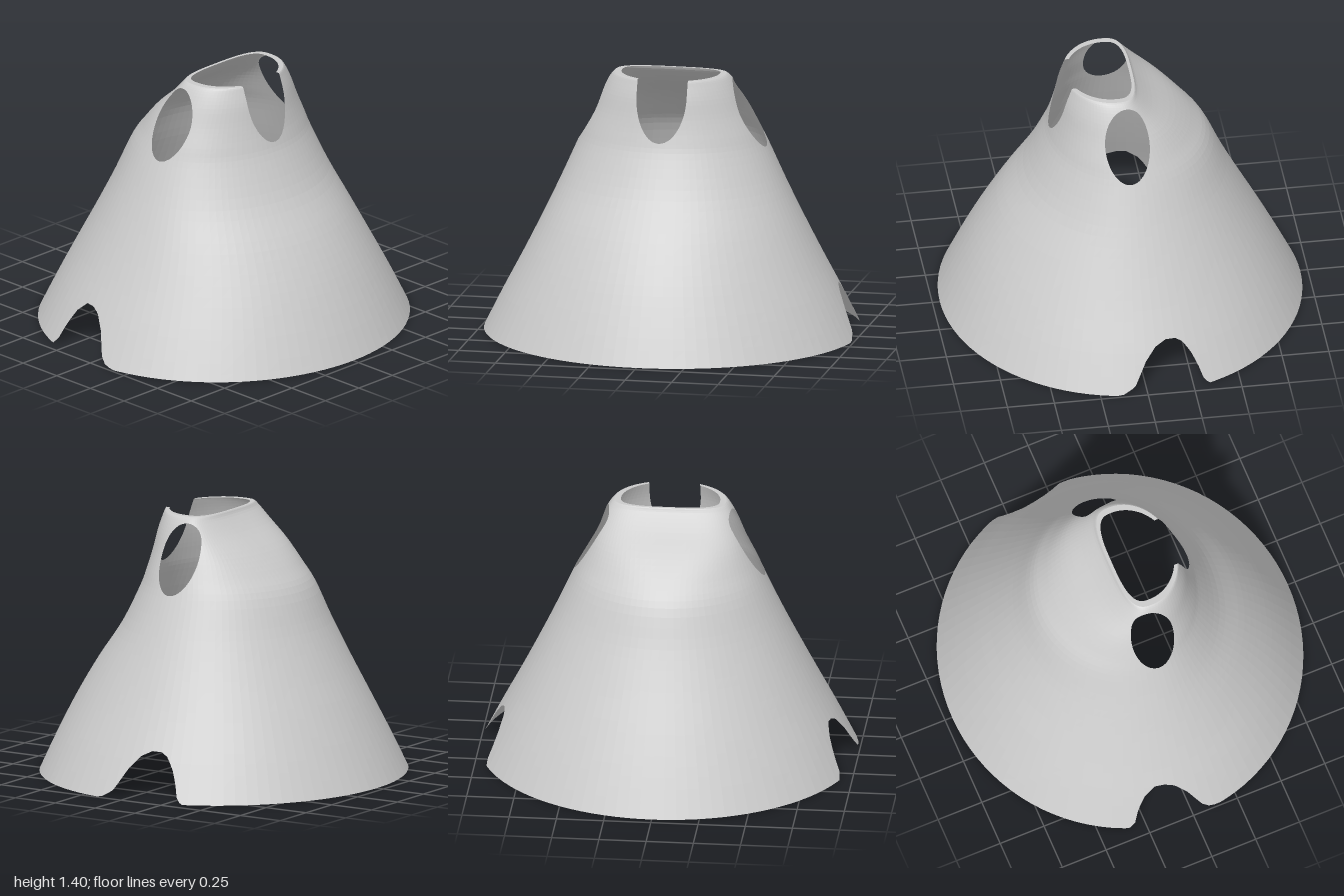
import * as THREE from 'three';

// Cross-sections from hem to neck: y, half width, front z, back z, z of widest point
const SECTIONS = [
  [0, 1.0, 0.96, -0.96, 0], [0.2, 0.9, 0.87, -0.865, 0], [0.4, 0.795, 0.77, -0.765, 0],
  [0.6, 0.695, 0.65, -0.66, 0], [0.8, 0.6, 0.51, -0.56, 0], [1.0, 0.51, 0.41, -0.47, 0],
  [1.1, 0.465, 0.375, -0.39, 0.01], [1.2, 0.415, 0.35, -0.285, 0.02], [1.3, 0.365, 0.33, -0.155, 0.04],
  [1.37, 0.325, 0.31, -0.08, 0.05], [1.4, 0.295, 0.3, -0.06, 0.06], [1.4, 0.262, 0.285, -0.045, 0.06],
];
const COLS = 96, ROWS = 44;

// Outline of the notches at the hem sides: z, y
const NOTCH = [[-0.34, 0], [-0.31, 0.02], [-0.28, 0.1], [-0.24, 0.18], [-0.2, 0.23], [-0.14, 0.265],
  [-0.06, 0.23], [0, 0.16], [0.06, 0.05], [0.1, 0.012], [0.16, 0]];

function notchHeight(z) {
  for (let i = 1; i < NOTCH.length; i++) {
    const [z0, y0] = NOTCH[i - 1], [z1, y1] = NOTCH[i];
    if (z >= z0 && z <= z1) return y0 + (y1 - y0) * (z - z0) / (z1 - z0);
  }
  return -0.1;
}

// Positive where there is cloth, negative inside an opening
function cloth(p) {
  let d = 1;
  if (Math.abs(p.x) > 0.2) { // armholes and hem notches
    d = Math.min(d, Math.hypot((p.z - 0.02) / 0.118, (p.y - 1.19) / 0.18) - 1);
    d = Math.min(d, p.y - notchHeight(p.z) + 1e-4);
  }
  if (p.z > 0.1) // neck slit
    d = Math.min(d, Math.hypot(p.x / 0.135, Math.min(p.y - 1.32, 0) / 0.24) - 1);
  return d;
}

// Point on the edge of an opening between a kept and a removed point
function edgePoint(a, b) {
  const keep = a.clone(), cut = b.clone(), mid = new THREE.Vector3();
  for (let i = 0; i < 14; i++) {
    mid.lerpVectors(keep, cut, 0.5);
    (cloth(mid) > 0 ? keep : cut).copy(mid);
  }
  return keep;
}

function cloakGeometry() {
  // One smooth profile per section value, all sharing the same heights
  const profiles = [1, 2, 3, 4].map(k =>
    new THREE.SplineCurve(SECTIONS.map(s => new THREE.Vector2(s[k], s[0]))));

  const grid = [];
  for (let r = 0; r <= ROWS; r++) {
    const [side, front, back, mid] = profiles.map(c => c.getPoint(r / ROWS));
    const y = THREE.MathUtils.clamp(side.y, 0, 1.4);
    // The back of the neck is squarer than the hem
    const power = 1 - 0.35 * THREE.MathUtils.smoothstep(y, 1.05, 1.4);
    const ring = [];
    for (let c = 0; c <= COLS; c++) {
      const a = c / COLS * Math.PI * 2, s = Math.sin(a), k = Math.cos(a);
      const e = k < 0 ? power : 1;
      const depth = k < 0 ? mid.x - back.x : front.x - mid.x;
      ring.push(new THREE.Vector3(
        side.x * Math.sign(s) * Math.abs(s) ** e, y,
        mid.x + depth * Math.sign(k) * Math.abs(k) ** e));
    }
    grid.push(ring);
  }

  // Clip each triangle against the openings
  const pos = [];
  const addTriangle = (...tri) => {
    const poly = [];
    tri.forEach((p, i) => {
      const q = tri[(i + 1) % 3], inP = cloth(p) > 0, inQ = cloth(q) > 0;
      if (inP) poly.push(p);
      if (inP !== inQ) poly.push(inP ? edgePoint(p, q) : edgePoint(q, p));
    });
    for (let i = 2; i < poly.length; i++)
      for (const p of [poly[0], poly[i - 1], poly[i]]) pos.push(p.x, p.y, p.z);
  };
  for (let r = 0; r < ROWS; r++) {
    for (let c = 0; c < COLS; c++) {
      const a = grid[r][c], b = grid[r][c + 1], d = grid[r + 1][c], e = grid[r + 1][c + 1];
      addTriangle(a, b, e);
      addTriangle(a, e, d);
    }
  }
  const geometry = new THREE.BufferGeometry();
  geometry.setAttribute('position', new THREE.Float32BufferAttribute(pos, 3));
  geometry.computeVertexNormals();
  return geometry;
}

export function createModel() {
  const group = new THREE.Group();
  group.name = 'cloak';
  // Open cloth shell with neck slit, armholes and side notches
  const shell = new THREE.Mesh(cloakGeometry(), new THREE.MeshStandardMaterial({
    color: 0xcccccc, flatShading: true, side: THREE.DoubleSide,
  }));
  shell.name = 'cloakShell';
  group.add(shell);
  return group;
}
